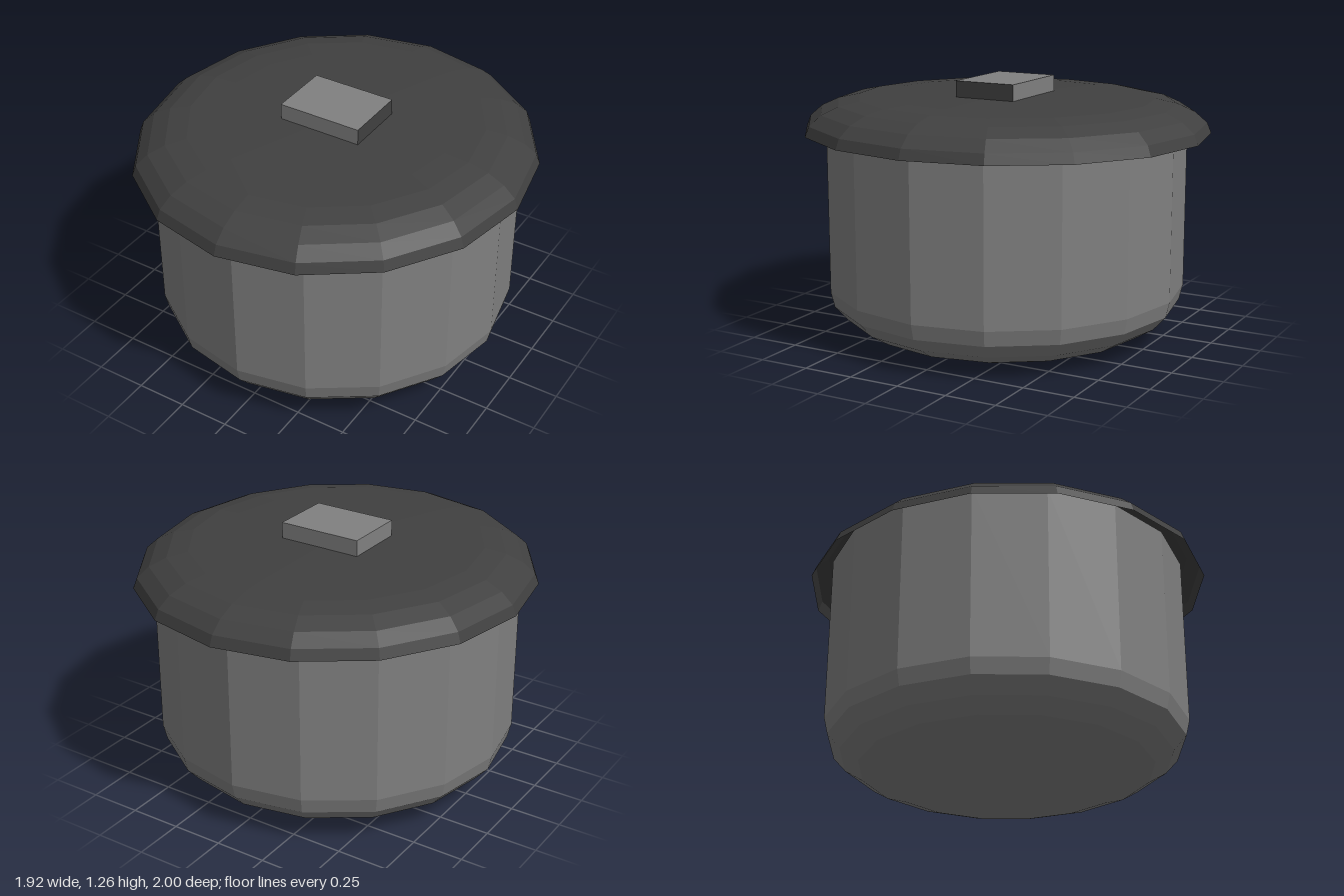
import * as THREE from 'three';

const SIDES = 16;

// Faceted solid of revolution from [radius, height] pairs, bottom to top
function facetedLathe(profile) {
  const points = profile.map(([r, y]) => new THREE.Vector2(r, y));
  const geometry = new THREE.LatheGeometry(points, SIDES).toNonIndexed();
  geometry.computeVertexNormals();
  return geometry;
}

export function createModel() {
  const potGrey = new THREE.MeshStandardMaterial({ color: 0x808080 });
  potGrey.name = 'potGrey';
  const lidGrey = new THREE.MeshStandardMaterial({ color: 0x404040, side: THREE.DoubleSide });
  lidGrey.name = 'lidGrey';

  const group = new THREE.Group();
  group.name = 'lidded pot';
  const add = (name, geometry, material) => {
    const mesh = new THREE.Mesh(geometry, material);
    mesh.name = name;
    group.add(mesh);
    return mesh;
  };

  // Pot body with a rounded foot, reaching up inside the lid
  add('potBody', facetedLathe([
    [0, 0], [0.47, 0], [0.6, 0.012], [0.71, 0.05], [0.8, 0.105],
    [0.862, 0.175], [0.88, 0.25], [0.88, 1.09], [0, 1.09],
  ]), potGrey);

  // Hollow domed lid, slightly narrower across x
  const lid = add('lid', facetedLathe([
    [1, 1.01], [0.98, 1.06], [0.92, 1.112], [0.835, 1.15],
    [0.73, 1.172], [0.6, 1.18], [0, 1.182],
  ]), lidGrey);
  lid.scale.x = 0.96;

  // Block handle with one dark end
  const handle = add('handle', new THREE.BoxGeometry(0.42, 0.1, 0.31),
    [lidGrey, potGrey, potGrey, potGrey, potGrey, potGrey]);
  handle.position.y = 1.21;

  return group;
}
